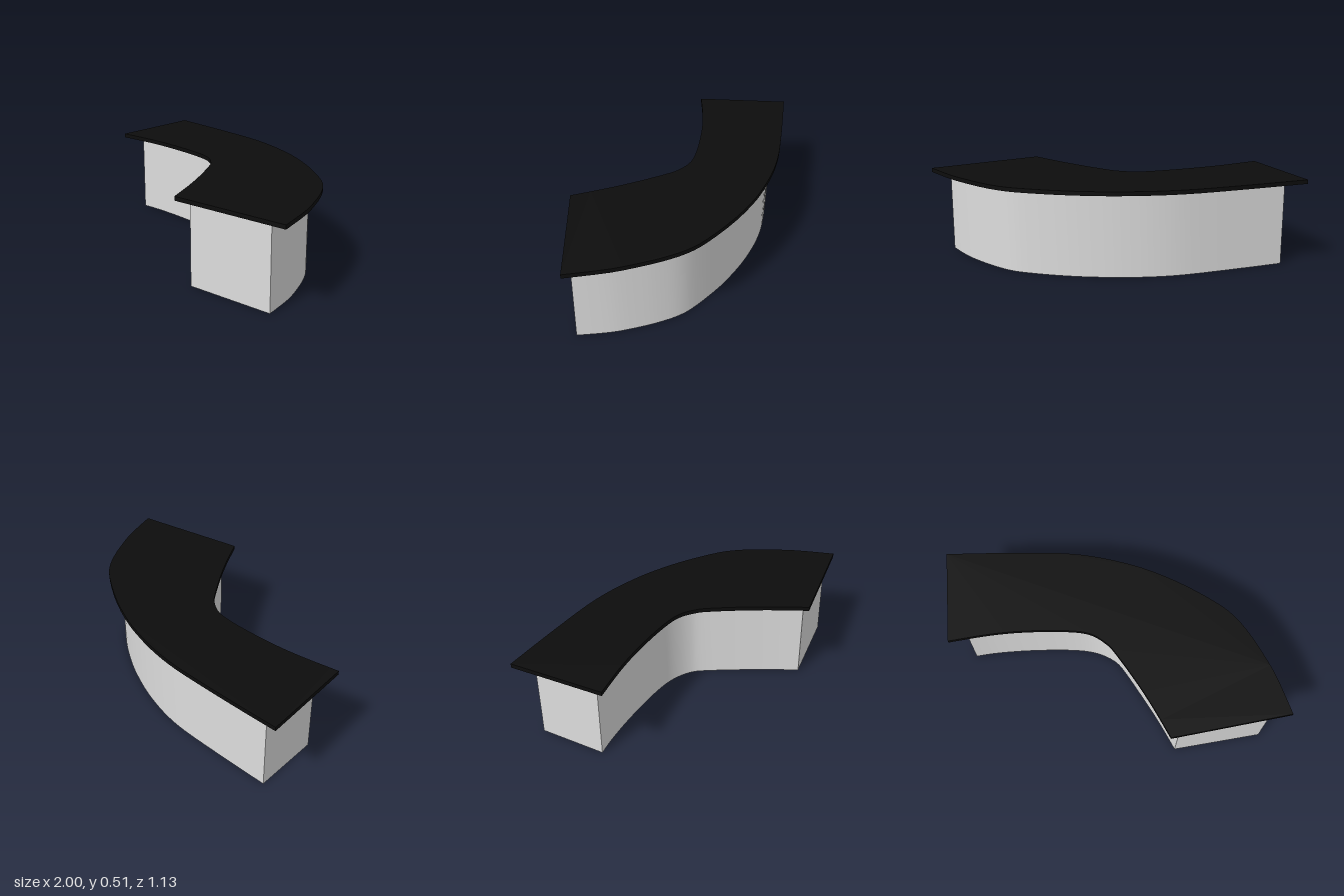
import * as THREE from 'three';
import { toCreasedNormals } from 'three/addons/utils/BufferGeometryUtils.js';

// Smooth curve through [x, z] points
function curvePoints(points, divisions) {
  return new THREE.SplineCurve(points.map(([x, z]) => new THREE.Vector2(x, z))).getPoints(divisions);
}

// Upright curved slab between an outer and an inner plan edge, with straight ends
function curvedSlab(name, outer, inner, bottom, top, material) {
  const shape = new THREE.Shape([...curvePoints(outer, 36), ...curvePoints(inner, 36)]);
  const extruded = new THREE.ExtrudeGeometry(shape, { depth: top - bottom, bevelEnabled: false });
  extruded.rotateX(Math.PI / 2); // plan y becomes z, depth runs downwards
  extruded.translate(0, top, 0);
  const mesh = new THREE.Mesh(toCreasedNormals(extruded, Math.PI / 6), material);
  mesh.name = name;
  return mesh;
}

export function createModel() {
  const group = new THREE.Group();
  group.name = 'curvedCounter';

  const black = new THREE.MeshStandardMaterial({ color: 0x0d0d0d });
  black.name = 'black';
  const paleGrey = new THREE.MeshStandardMaterial({ color: 0xdddddd });
  paleGrey.name = 'paleGrey';

  // Counter body
  const bodyOuter = [
    [-0.89, -0.49], [-0.6, -0.497], [-0.3, -0.498], [-0.13, -0.48], [0.02, -0.445], [0.17, -0.395],
    [0.36, -0.31], [0.55, -0.195], [0.64, -0.12], [0.71, -0.025], [0.77, 0.08], [0.835, 0.22], [0.89, 0.405],
  ];
  const bodyInner = [
    [0.375, 0.5], [0.28, 0.33], [0.18, 0.17], [0.06, -0.01], [0, -0.07], [-0.08, -0.11],
    [-0.17, -0.132], [-0.3, -0.14], [-0.45, -0.138], [-0.6, -0.13], [-0.75, -0.115], [-0.87, -0.095],
  ];
  group.add(curvedSlab('counterBody', bodyOuter, bodyInner, 0, 0.49, paleGrey));

  // Overhanging worktop
  const topOuter = [
    [-1, -0.555], [-0.75, -0.563], [-0.5, -0.567], [-0.3, -0.565], [-0.13, -0.547], [0.04, -0.51], [0.2, -0.46],
    [0.4, -0.37], [0.6, -0.25], [0.7, -0.165], [0.78, -0.06], [0.85, 0.06], [0.92, 0.2], [1, 0.42],
  ];
  const topInner = [
    [0.32, 0.56], [0.22, 0.38], [0.12, 0.22], [0, 0.05], [-0.05, 0], [-0.11, -0.04],
    [-0.18, -0.062], [-0.3, -0.07], [-0.45, -0.068], [-0.6, -0.058], [-0.75, -0.038], [-0.95, 0],
  ];
  group.add(curvedSlab('worktop', topOuter, topInner, 0.488, 0.512, black));

  return group;
}
